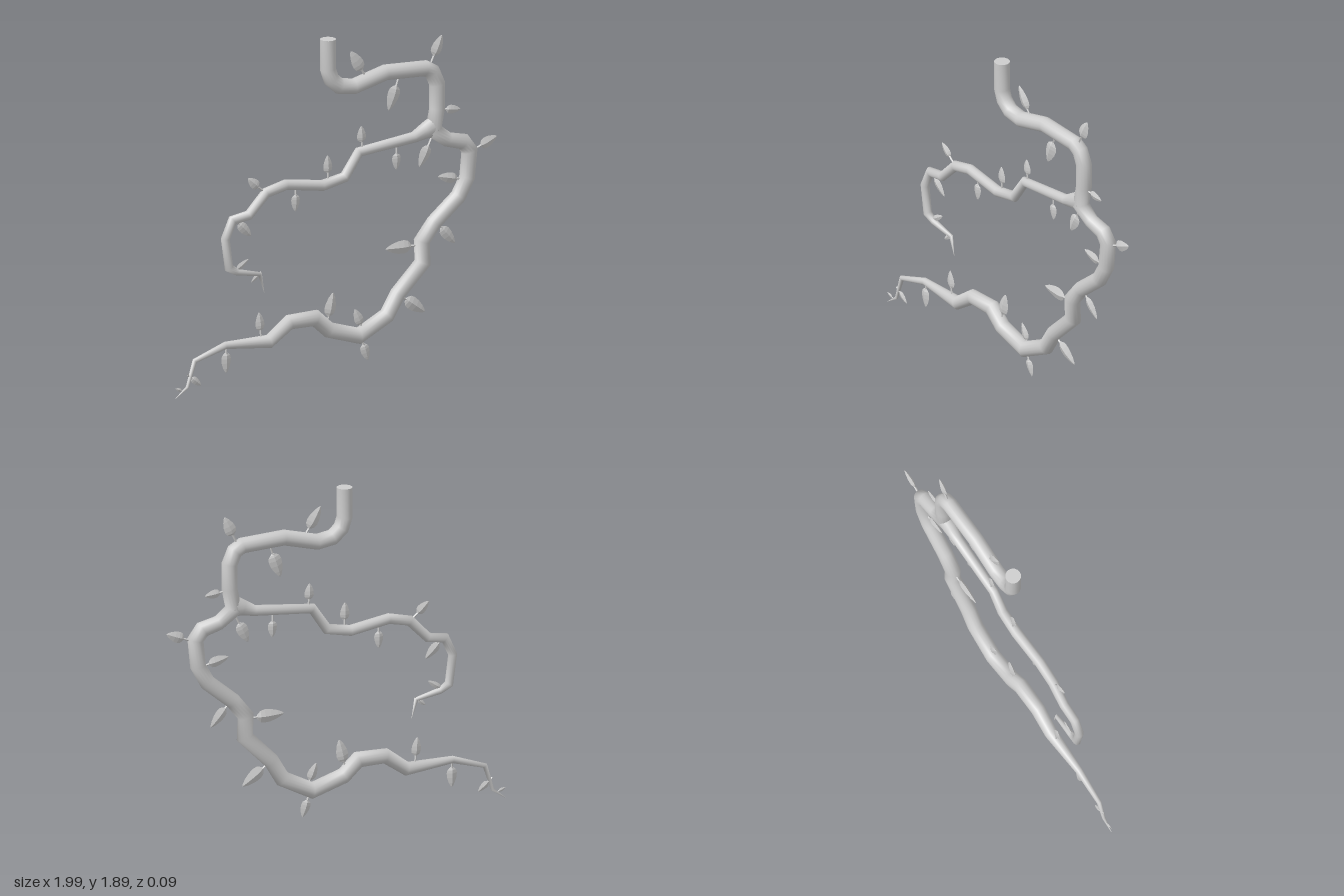
import * as THREE from 'three';

const barkMaterial = new THREE.MeshStandardMaterial({ color: 0xcccccc, side: THREE.DoubleSide });
const leafMaterial = new THREE.MeshStandardMaterial({ color: 0xcccccc, side: THREE.DoubleSide, flatShading: true });

// Sweeps an elliptical ring along a path in the xy plane.
// Each point is [x, y, half width, half depth (defaults to half width)].
function sweep(points, sides) {
  const positions = [], index = [];
  const dir = (a, b) => new THREE.Vector2(b[0] - a[0], b[1] - a[1]).normalize();
  points.forEach((p, i) => {
    const before = dir(points[Math.max(i - 1, 0)], points[Math.max(i, 1)]);
    const after = i < points.length - 1 ? dir(p, points[i + 1]) : before;
    const t = before.clone().add(after).normalize();
    const miter = Math.min(1 / Math.max(t.dot(after), 0.1), 1.3); // keeps width through bends
    const [x, y, w, d = w] = p;
    for (let j = 0; j < sides; j++) {
      const a = (j / sides) * Math.PI * 2, n = Math.cos(a) * w * miter;
      positions.push(x - t.y * n, y + t.x * n, Math.sin(a) * d);
      if (i === points.length - 1) continue;
      const k = (j + 1) % sides, r = i * sides, s = r + sides;
      index.push(r + j, r + k, s + j, r + k, s + k, s + j);
    }
  });
  const geometry = new THREE.BufferGeometry();
  geometry.setAttribute('position', new THREE.Float32BufferAttribute(positions, 3));
  geometry.setIndex(index);
  geometry.computeVertexNormals();
  return geometry;
}

// Leaf outline along its length: [fraction, share of the half width]
const leafProfile = [[0.26, 0.5], [0.33, 0.85], [0.45, 1], [0.62, 0.92], [0.82, 0.6], [0.95, 0.25], [1, 0]];

// Thin ridged leaf with a short stalk, from its base on the vine to its tip
function makeLeaf([x0, y0, x1, y1, width]) {
  const at = (f, w, d) => [x0 + (x1 - x0) * f, y0 + (y1 - y0) * f, w, d];
  const stalk = Math.min(0.006, width * 0.3);
  const points = [at(-0.1, stalk, stalk), at(0.22, stalk, stalk)];
  for (const [f, share] of leafProfile) points.push(at(f, width * share, width * 0.4 * share));
  return new THREE.Mesh(sweep(points, 4), leafMaterial);
}

const R = 0.043;
const mainPath = [
  [-0.05, 1.9, R], [-0.05, 1.73, R], [-0.03, 1.67, R], [0.02, 1.625, R], [0.11, 1.61, R],
  [0.305, 1.66, R], [0.55, 1.647, R], [0.595, 1.62, R], [0.625, 1.55, R], [0.625, 1.41, R],
  [0.6, 1.29, R], [0.69, 1.225, 0.04], [0.785, 1.2, R], [0.825, 1.145, R], [0.81, 0.995, R],
  [0.755, 0.895, R], [0.605, 0.77, R], [0.53, 0.675, R], [0.535, 0.555, R], [0.38, 0.4, R],
  [0.315, 0.29, R], [0.14, 0.2, R], [-0.045, 0.26, R], [-0.13, 0.34, R], [-0.29, 0.34, 0.04],
  [-0.415, 0.25, 0.036], [-0.685, 0.267, 0.02], [-0.875, 0.207, 0.013], [-0.92, 0.065, 0.009],
  [-0.995, 0.01, 0.001],
];
const branchPath = [
  [0.61, 1.31, 0.065, R], [0.55, 1.295, 0.045, 0.04], [0.48, 1.268, 0.03], [0.14, 1.235, 0.026],
  [0.053, 1.107, 0.028], [-0.085, 1.08, 0.03], [-0.31, 1.118, 0.029], [-0.433, 1.09, 0.028],
  [-0.54, 0.98, 0.026], [-0.64, 0.965, 0.025], [-0.685, 0.866, 0.024], [-0.663, 0.7, 0.023],
  [-0.61, 0.668, 0.018], [-0.47, 0.637, 0.011], [-0.444, 0.53, 0.001],
];

// Leaves: [base x, base y, tip x, tip y, half width]
const mainLeaves = [
  [0.18, 1.66, 0.09, 1.81, 0.035], [0.59, 1.68, 0.655, 1.82, 0.034],
  [0.385, 1.615, 0.325, 1.44, 0.038], [0.655, 1.4, 0.77, 1.385, 0.025],
  [0.865, 1.15, 0.995, 1.2, 0.032], [0.78, 0.99, 0.63, 1.025, 0.03],
  [0.625, 0.765, 0.735, 0.635, 0.031], [0.51, 0.658, 0.305, 0.662, 0.038],
  [0.395, 0.39, 0.55, 0.275, 0.037], [0.165, 0.235, 0.115, 0.353, 0.028],
  [0.16, 0.176, 0.197, 0.053, 0.028], [-0.055, 0.3, -0.018, 0.467, 0.035],
  [-0.465, 0.288, -0.477, 0.422, 0.028], [-0.68, 0.258, -0.68, 0.11, 0.03],
  [-0.91, 0.128, -0.835, 0.065, 0.02], [-0.945, 0.048, -0.995, 0.068, 0.01],
];
const branchLeaves = [
  [0.16, 1.262, 0.155, 1.38, 0.028], [0.373, 1.22, 0.373, 1.1, 0.027],
  [0.585, 1.24, 0.515, 1.095, 0.034], [-0.05, 1.117, -0.053, 1.245, 0.028],
  [-0.25, 1.08, -0.252, 0.957, 0.027], [-0.46, 1.11, -0.545, 1.187, 0.028],
  [-0.625, 0.965, -0.525, 0.86, 0.028], [-0.635, 0.672, -0.54, 0.733, 0.017],
  [-0.47, 0.645, -0.525, 0.598, 0.013],
];

export function createModel() {
  const model = new THREE.Group();
  model.name = 'leafyVine';
  const add = (parent, mesh, name) => { mesh.name = name; parent.add(mesh); };

  // Stems
  add(model, new THREE.Mesh(sweep(mainPath, 16), barkMaterial), 'mainVine');
  add(model, new THREE.Mesh(sweep(branchPath, 14), barkMaterial), 'sideBranch');

  // Flat cut end at the top
  const cap = new THREE.Mesh(new THREE.CircleGeometry(R, 16), barkMaterial);
  cap.rotation.x = -Math.PI / 2;
  cap.position.set(-0.05, 1.9, 0);
  add(model, cap, 'vineCutEnd');

  // Foliage
  for (const [name, list] of [['mainVineLeaves', mainLeaves], ['sideBranchLeaves', branchLeaves]]) {
    const group = new THREE.Group();
    list.forEach((leaf, i) => add(group, makeLeaf(leaf), `leaf${i + 1}`));
    add(model, group, name);
  }
  return model;
}
